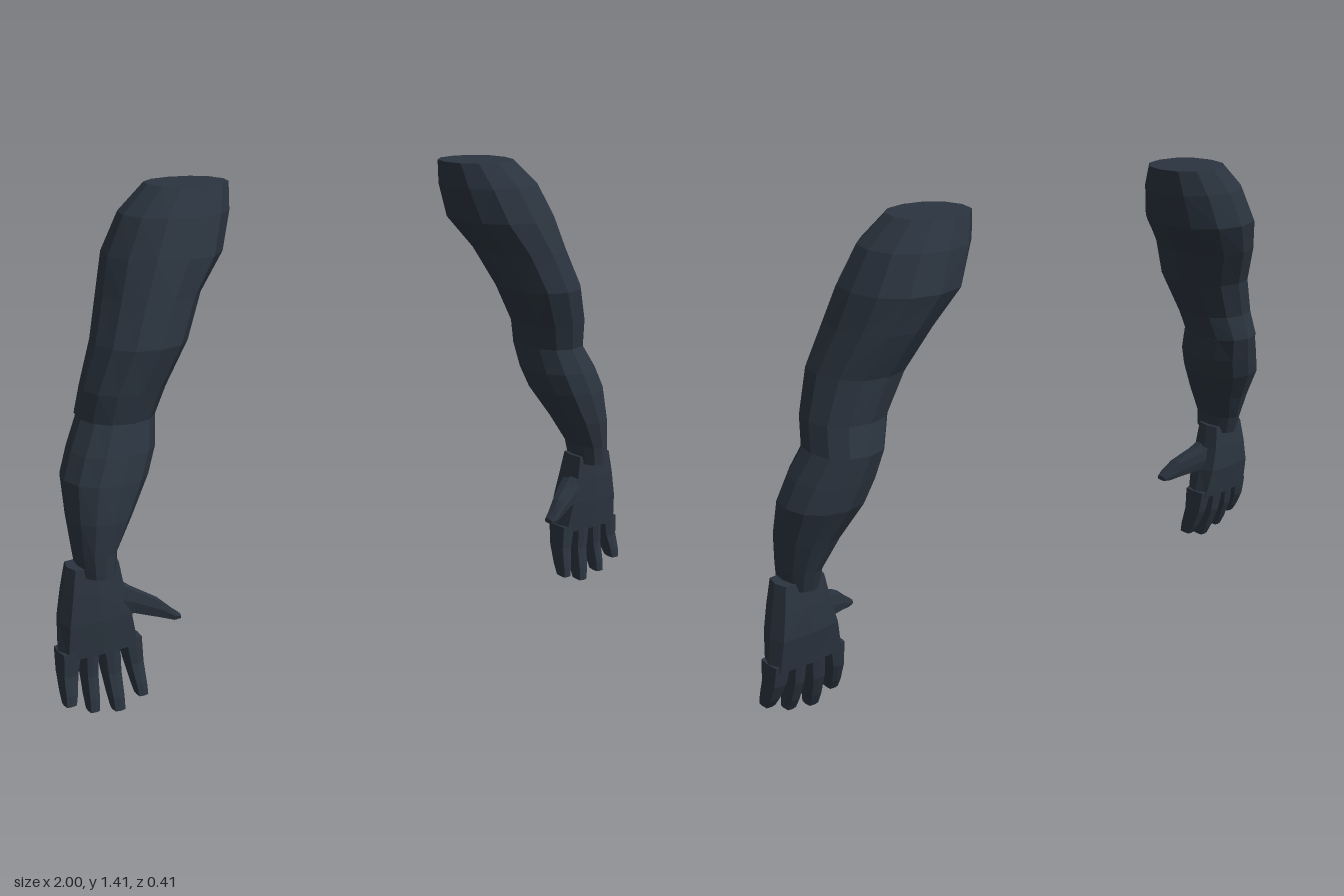
import * as THREE from 'three';

// Rounded cross-section between two extents on each axis; p < 1 makes it boxier
function section(a0, a1, b0, b1, n, p) {
  const bend = v => Math.sign(v) * Math.pow(Math.abs(v), p);
  return Array.from({ length: n }, (_, i) => {
    const t = (i / n) * Math.PI * 2;
    const c = Math.abs(Math.cos(t)) < 1e-6 ? 0 : Math.cos(t);
    const s = Math.abs(Math.sin(t)) < 1e-6 ? 0 : Math.sin(t);
    return [(a0 + a1) / 2 + bend(c) * (a1 - a0) / 2, (b0 + b1) / 2 + bend(s) * (b1 - b0) / 2];
  });
}
// Level ring [y, x0, x1, z0, z1] and upright ring [x, y0, y1, z0, z1]
const levelRing = ([y, ...r], n, p) => section(...r, n, p).map(([x, z]) => [x, y, z]);
const uprightRing = ([x, ...r], n, p) => section(...r, n, p).map(([y, z]) => [x, y, z]);

// Skin a list of rings with closed ends; side = -1 mirrors in x
function loft(rings, side) {
  const n = rings[0].length;
  const pts = rings.flat().map(([x, y, z]) => new THREE.Vector3(x * side, y, z));
  const tris = [];
  for (let r = 0; r < rings.length - 1; r++) {
    for (let i = 0; i < n; i++) {
      const a = r * n + i, b = r * n + (i + 1) % n;
      tris.push([a, b, b + n], [a, b + n, a + n]);
    }
  }
  const last = (rings.length - 1) * n;
  for (let i = 1; i < n - 1; i++) {
    tris.push([0, i + 1, i], [last, last + i, last + i + 1]);
  }
  // Signed volume tells whether the faces point outward
  let volume = 0;
  const cross = new THREE.Vector3();
  const mid = pts.reduce((m, v) => m.add(v), new THREE.Vector3()).divideScalar(pts.length);
  const rel = pts.map(v => v.clone().sub(mid));
  for (const [a, b, c] of tris) volume += rel[a].dot(cross.crossVectors(rel[b], rel[c]));
  if (volume < 0) tris.forEach(t => t.reverse());

  const geo = new THREE.BufferGeometry().setFromPoints(tris.flat().map(i => pts[i]));
  geo.computeVertexNormals();
  return geo;
}

// Arm rings: y, inner x, outer x, back z, front z
const UPPER_ARM = [
  [1.41, 0.37, 0.60, -0.13, 0.09],
  [1.335, 0.38, 0.68, -0.16, 0.135],
  [1.23, 0.415, 0.735, -0.175, 0.17],
  [1.13, 0.50, 0.765, -0.14, 0.187],
  [1.01, 0.56, 0.81, -0.085, 0.205],
  [0.89, 0.625, 0.85, -0.07, 0.175],
  [0.81, 0.655, 0.862, -0.09, 0.155],
];
const FOREARM = [
  [0.81, 0.655, 0.855, -0.09, 0.155],
  [0.73, 0.67, 0.90, -0.075, 0.18],
  [0.66, 0.70, 0.93, -0.06, 0.19],
  [0.56, 0.765, 0.935, -0.01, 0.195],
  [0.47, 0.82, 0.93, 0.025, 0.19],
  [0.41, 0.83, 0.925, 0.04, 0.19],
];
const PALM = [
  [0.435, 0.812, 0.955, 0.06, 0.15],
  [0.36, 0.80, 0.97, 0.05, 0.157],
  [0.28, 0.78, 0.985, 0.046, 0.16],
  [0.18, 0.762, 0.995, 0.062, 0.152],
];
// Thumb rings: x, low y, high y, back z, front z
const THUMB = [
  [0.83, 0.27, 0.385, 0.07, 0.15],
  [0.785, 0.272, 0.35, 0.09, 0.16],
  [0.72, 0.255, 0.312, 0.13, 0.185],
  [0.685, 0.246, 0.278, 0.15, 0.198],
  [0.666, 0.247, 0.262, 0.16, 0.195],
];
// Fingers: base x range, tip x range, tip y
const FINGERS = {
  indexFinger: [0.76, 0.812, 0.757, 0.787, 0.03],
  middleFinger: [0.825, 0.877, 0.827, 0.86, 0.004],
  ringFinger: [0.888, 0.928, 0.902, 0.932, 0.02],
  littleFinger: [0.938, 0.995, 0.968, 1.0, 0.055],
};

function fingerRings([b0, b1, t0, t1, tip]) {
  // t along the finger, back z, front z
  const curl = [[0, 0.066, 0.15], [0.45, 0.078, 0.15], [0.8, 0.102, 0.163], [1, 0.122, 0.165]];
  return curl.map(([t, z0, z1]) => levelRing([
    THREE.MathUtils.lerp(0.2, tip, t),
    THREE.MathUtils.lerp(b0, t0, t), THREE.MathUtils.lerp(b1, t1, t), z0, z1,
  ], 8, 0.4));
}

export function createModel() {
  const model = new THREE.Group();
  const slate = new THREE.MeshStandardMaterial({ color: 0x2b343f });
  slate.name = 'dark slate';
  slate.flatShading = true;

  for (const [label, side] of [['left', 1], ['right', -1]]) {
    const arm = new THREE.Group();
    arm.name = label + 'Arm';
    const add = (name, rings, parent = arm) => {
      const mesh = new THREE.Mesh(loft(rings, side), slate);
      mesh.name = name;
      parent.add(mesh);
    };
    // The right arm sits slightly further back, meeting the same wrist position
    const sway = ([y, x0, x1, z0, z1]) => {
      const d = side > 0 ? 0 : -0.035 * THREE.MathUtils.smoothstep(y, 0.41, 1.2);
      return levelRing([y, x0, x1, z0 + d, z1 + d], 12, 0.92);
    };
    add('upperArm', UPPER_ARM.map(sway));
    add('forearm', FOREARM.map(sway));

    // Hand
    const hand = new THREE.Group();
    hand.name = label + 'Hand';
    add('palm', PALM.map(r => levelRing(r, 8, 0.4)), hand);
    add('thumb', THUMB.map(r => uprightRing(r, 8, 0.5)), hand);
    for (const [name, f] of Object.entries(FINGERS)) add(name, fingerRings(f), hand);
    arm.add(hand);
    model.add(arm);
  }
  return model;
}
